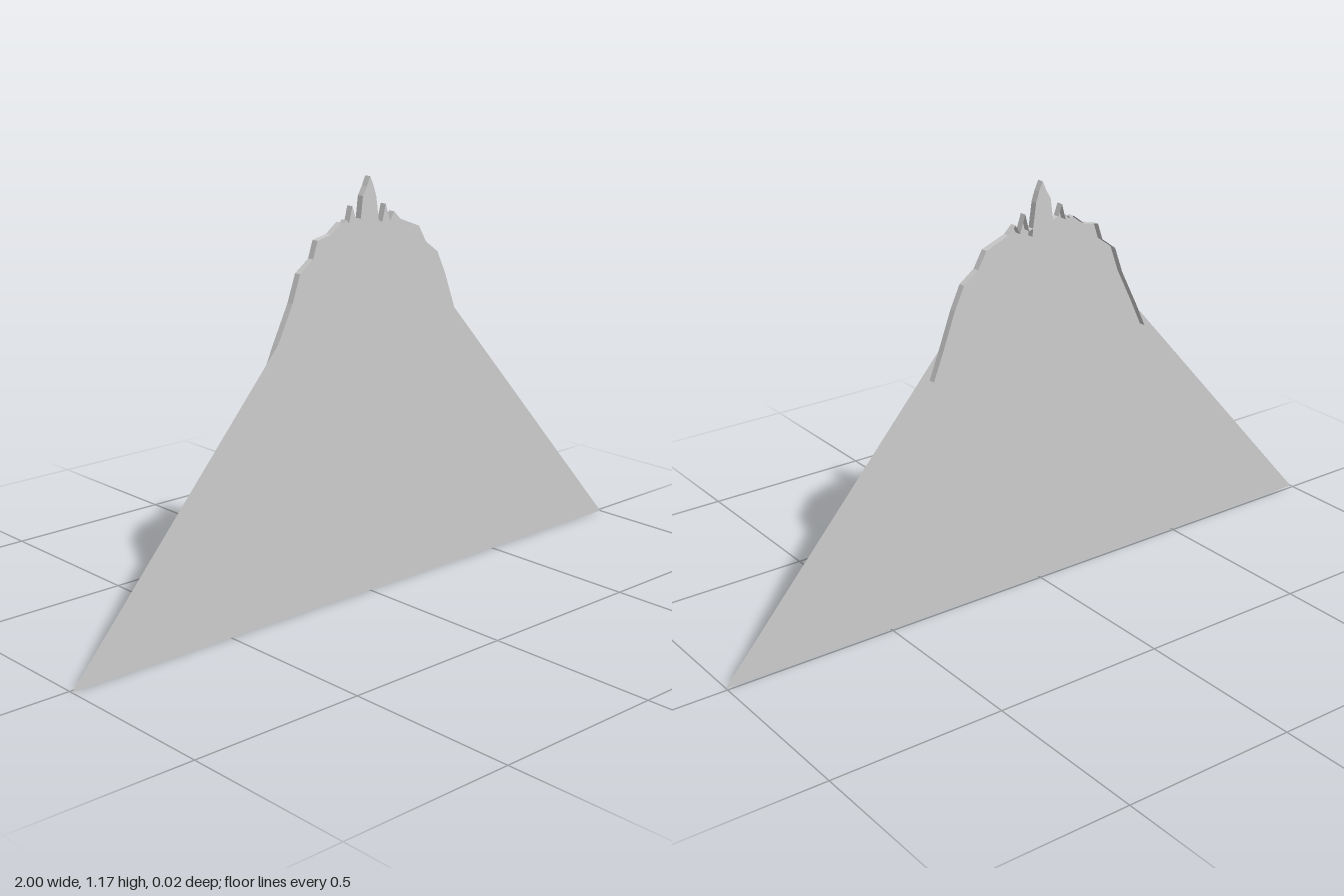
import * as THREE from 'three';

export function createModel() {
  const group = new THREE.Group();
  const material = new THREE.MeshStandardMaterial({
    color: 0xcccccc, flatShading: true, side: THREE.DoubleSide,
  });
  const front = 0.01, back = -0.01;
  const add = (name, geometry) => {
    const mesh = new THREE.Mesh(geometry, material);
    mesh.name = name;
    group.add(mesh);
  };
  const points = (list) => list.map(([x, y]) => new THREE.Vector2(x, y));

  // Ridge outline, from the -x shoulder over the peak to the +x shoulder
  const leftRidge = [
    [-0.325, 0.765], [-0.275, 0.865], [-0.248, 0.94], [-0.203, 0.973],
    [-0.187, 1.02], [-0.14, 1.03], [-0.103, 1.058], [-0.092, 1.053],
    [-0.085, 1.062], [-0.076, 1.053], [-0.064, 1.097], [-0.052, 1.065], [-0.034, 1.06],
  ];
  const spire = [
    [-0.026, 1.12], [-0.012, 1.143], [0, 1.17], [0.012, 1.145], [0.022, 1.115],
  ];
  const rightRidge = [
    [0.032, 1.047], [0.045, 1.043], [0.057, 1.09], [0.074, 1.04], [0.088, 1.066],
    [0.112, 1.043], [0.145, 1.03], [0.183, 1.015], [0.21, 0.968],
    [0.255, 0.935], [0.285, 0.872], [0.325, 0.765],
  ];
  const ridge = [...leftRidge, ...spire, ...rightRidge];

  // Flat mountain face
  const face = new THREE.ShapeGeometry(new THREE.Shape(points([[1, 0], ...ridge.slice().reverse(), [-1, 0]])));
  face.translate(0, 0, front);
  add('mountainFace', face);

  // Open rim running back from the ridge, one quad per outline segment
  const path = [[-0.36, 0.69], ...ridge, [0.355, 0.69]];
  const rim = new THREE.PlaneGeometry(1, 1, path.length - 1, 1);
  const pos = rim.attributes.position;
  path.forEach(([x, y], i) => {
    pos.setXYZ(i, x, y, back);
    pos.setXYZ(i + path.length, x, y, front);
  });
  rim.computeVertexNormals();
  add('ridgeRim', rim);

  // Closed spire at the summit
  const body = new THREE.ExtrudeGeometry(
    new THREE.Shape(points([[-0.036, 1.025], ...leftRidge.slice(-1), ...spire, rightRidge[0], [0.034, 1.025]])),
    { depth: front - back - 0.001, bevelEnabled: false },
  );
  body.translate(0, 0, back);
  add('summitSpire', body);

  return group;
}
